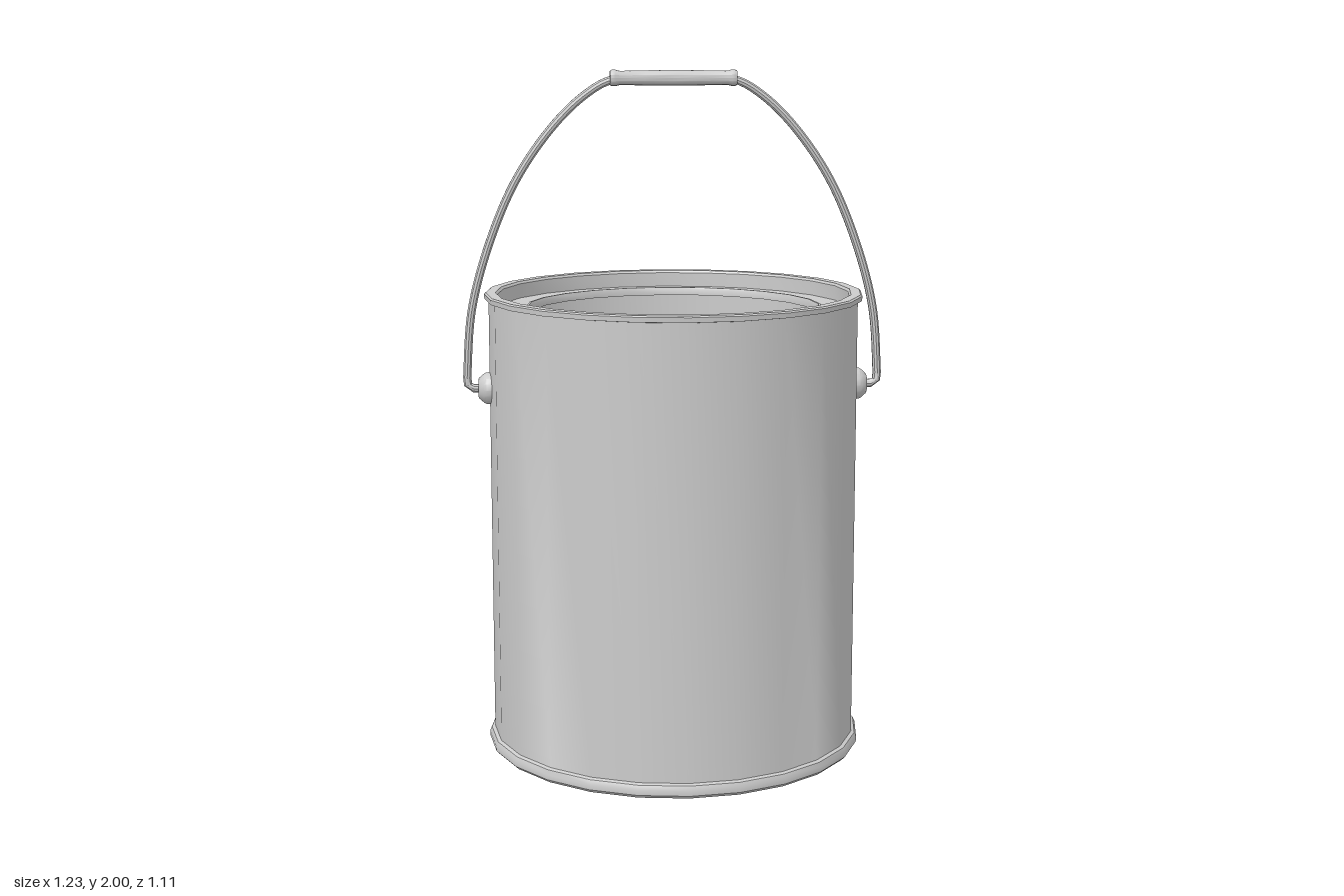
import * as THREE from 'three';
import { toCreasedNormals } from 'three/addons/utils/BufferGeometryUtils.js';

const material = new THREE.MeshStandardMaterial({ color: 0xcccccc, side: THREE.DoubleSide });

function addMesh(parent, name, geometry) {
  const mesh = new THREE.Mesh(toCreasedNormals(geometry, 0.6), material);
  mesh.name = name;
  parent.add(mesh);
  return mesh;
}

function lathe(points, sides) {
  return new THREE.LatheGeometry(points.map(([r, y]) => new THREE.Vector2(r, y)), sides);
}

export function createModel() {
  const group = new THREE.Group();
  group.name = 'paintCan';

  // Can: closed base, rolled foot, wall, top rim, recessed ledge, lip and hollow inside
  addMesh(group, 'canBody', lathe([
    [0, 0.005], [0.545, 0.005], [0.555, 0.015], [0.556, 0.03], [0.55, 0.043], [0.54, 0.047],
    [0.54, 1.342], [0.552, 1.344], [0.553, 1.358], [0.548, 1.362], [0.52, 1.362],
    [0.515, 1.355], [0.515, 1.312], [0.437, 1.312], [0.434, 1.319], [0.428, 1.319],
    [0.425, 1.312], [0.425, 1.295], [0.53, 1.295], [0.53, 0.03], [0, 0.03],
  ], 24));

  // Wire bail: one half of the arch, mirrored for the other
  const half = [
    [0.545, 1.08], [0.585, 1.08], [0.6, 1.085], [0.605, 1.1], [0.604, 1.14], [0.589, 1.31],
    [0.538, 1.497], [0.458, 1.683], [0.352, 1.836], [0.257, 1.928], [0.177, 1.972],
  ];
  const path = [...half, [0, 1.977], ...half.slice().reverse().map(([x, y]) => [-x, y])]
    .map(([x, y]) => new THREE.Vector3(x, y, 0));
  const arch = new THREE.CatmullRomCurve3(path, false, 'centripetal');
  addMesh(group, 'handleWire', new THREE.TubeGeometry(arch, 120, 0.0125, 10));

  // Grip sleeve with flared ends
  const grip = addMesh(group, 'handleGrip', lathe([
    [0.012, -0.183], [0.021, -0.183], [0.0235, -0.177], [0.0235, -0.168], [0.02, -0.155],
    [0.0215, -0.08], [0.0225, 0], [0.0215, 0.08], [0.02, 0.155],
    [0.0235, 0.168], [0.0235, 0.177], [0.021, 0.183], [0.012, 0.183],
  ], 16));
  grip.rotation.z = Math.PI / 2;
  grip.position.y = 1.977;

  // Ears that hold the wire on both sides
  for (const side of [-1, 1]) {
    const ear = addMesh(group, side > 0 ? 'leftEar' : 'rightEar', lathe([
      [0, 0], [0.047, 0], [0.047, 0.022], [0.043, 0.029], [0.031, 0.043], [0.027, 0.045], [0, 0.045],
    ], 16));
    ear.rotation.z = -side * Math.PI / 2;
    ear.position.set(side * 0.528, 1.08, 0);
  }
  return group;
}
